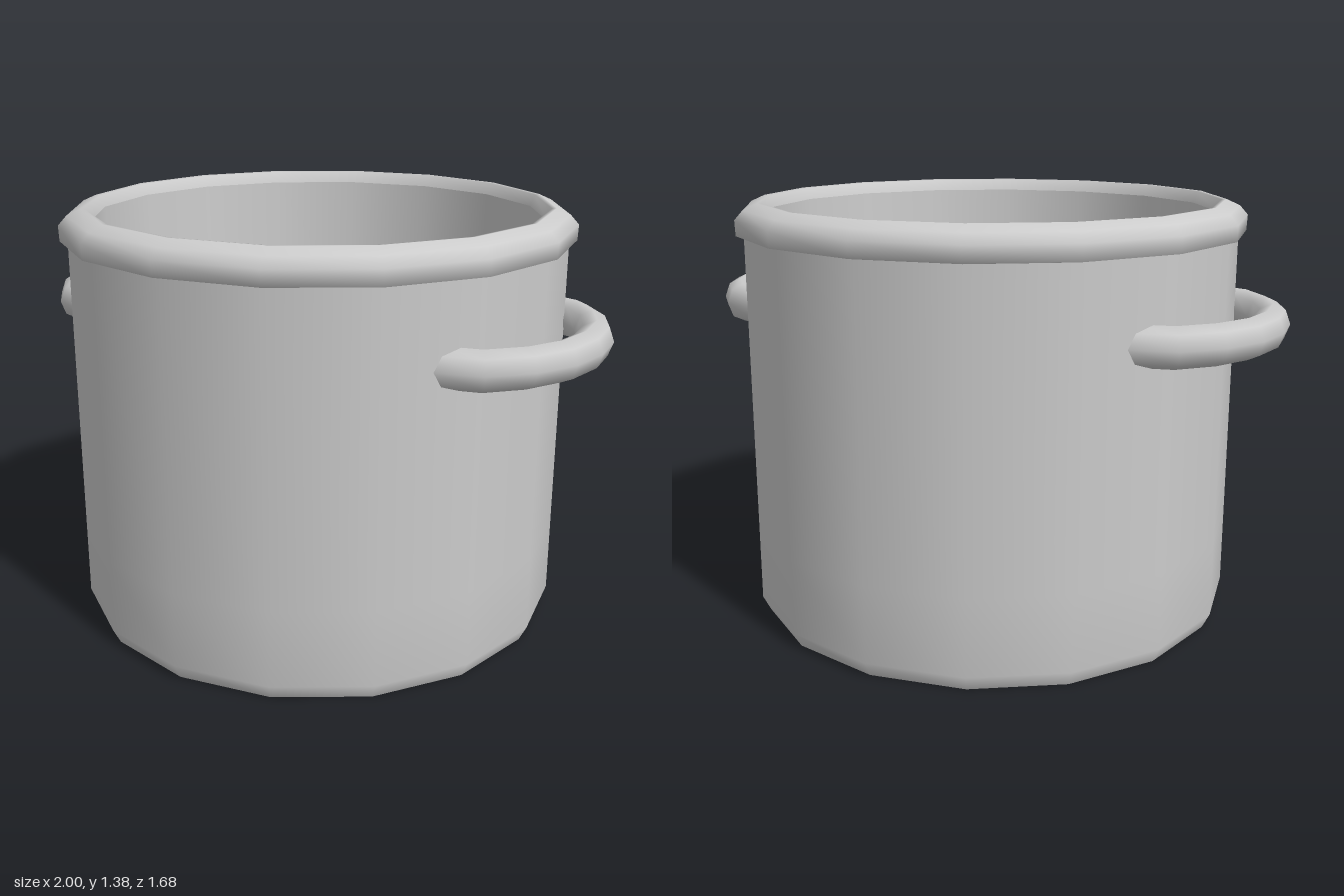
import * as THREE from 'three';

const SIDES = 16;

export function createModel() {
  const pot = new THREE.Group();
  pot.name = 'cookingPot';
  const material = new THREE.MeshStandardMaterial({ color: 0xcccccc, side: THREE.DoubleSide });

  const add = (name, geometry) => {
    const mesh = new THREE.Mesh(geometry, material);
    mesh.name = name;
    pot.add(mesh);
    return mesh;
  };
  const lathe = (profile) =>
    new THREE.LatheGeometry(profile.map(([r, y]) => new THREE.Vector2(r, y)), SIDES);

  // Outer wall, open underneath, with a small bevel at the foot
  add('outerWall', lathe([[0.79, 0], [0.815, 0.05], [0.815, 0.3], [0.815, 1.28]]));

  // Rounded rim, wider than the wall
  add('rim', lathe([
    [0.81, 1.275], [0.84, 1.28], [0.842, 1.33], [0.815, 1.36],
    [0.77, 1.38], [0.755, 1.378], [0.74, 1.34],
  ]));

  // Inner wall, narrowing slightly down to the contents
  add('innerWall', lathe([[0.74, 1.34], [0.725, 0.85]]));

  // Gently uneven surface of the contents
  const contents = new THREE.RingGeometry(0, 0.735, SIDES, 4);
  contents.rotateX(-Math.PI / 2);
  const p = contents.attributes.position;
  for (let i = 0; i < p.count; i++) {
    const x = p.getX(i) / 0.735, z = p.getZ(i) / 0.735;
    p.setY(i, 0.97 - 0.105 * x * z + 0.03 * x);
  }
  contents.computeVertexNormals();
  add('contents', contents);

  // Two curved side handles
  const bend = [[0.65, 0.385], [0.77, 0.355], [0.86, 0.265], [0.925, 0.14], [0.945, 0]];
  for (const side of [1, -1]) {
    const half = bend.map(([x, z]) => new THREE.Vector3(side * x, 0, z));
    const otherHalf = bend.slice(0, -1).reverse().map(([x, z]) => new THREE.Vector3(side * x, 0, -z));
    const path = new THREE.CatmullRomCurve3([...half, ...otherHalf]);
    const handle = new THREE.TubeGeometry(path, 8, 0.056, 8);
    handle.scale(1, 1.14, 1);
    handle.translate(0, 1.015, 0);
    add(side > 0 ? 'leftHandle' : 'rightHandle', handle);
  }

  return pot;
}
